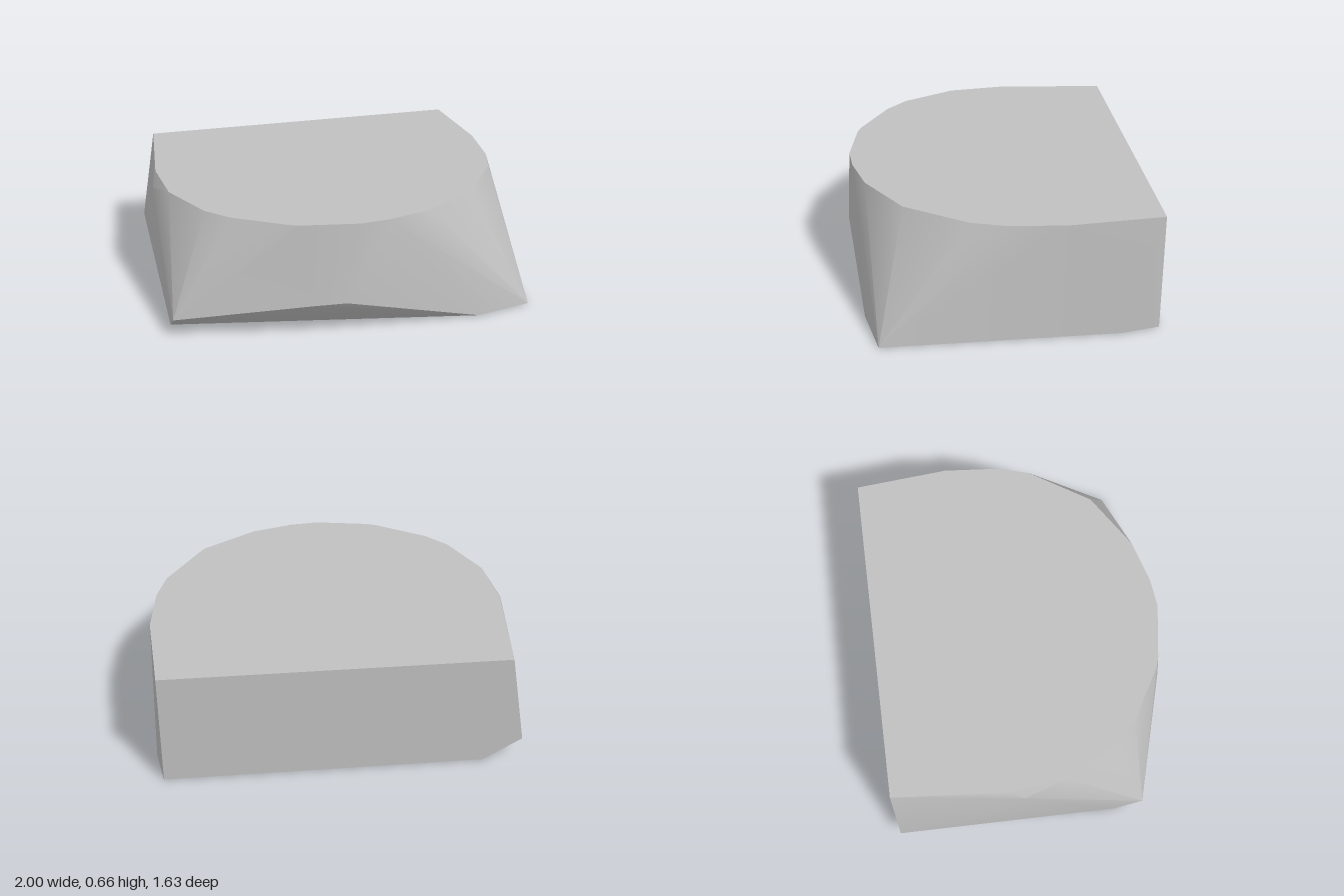
import * as THREE from 'three';
import { ConvexGeometry } from 'three/addons/geometries/ConvexGeometry.js';
import { toCreasedNormals } from 'three/addons/utils/BufferGeometryUtils.js';

const HEIGHT = 0.66;

// Flat top outline as [x, z], from back right round the front to back left
const topOutline = [
  [-0.91, -0.82], [-0.97, -0.2], [-0.935, 0.13], [-0.785, 0.43], [-0.665, 0.55],
  [-0.38, 0.72], [-0.32, 0.74], [-0.02, 0.79], [0.14, 0.775], [0.38, 0.71],
  [0.69, 0.52], [0.91, 0.19], [0.965, 0.01], [0.995, -0.3], [0.955, -0.82],
];

// Flat base outline as [x, z]
const baseOutline = [
  [-0.79, -0.82], [-1, 0.43], [0.68, 0.745], [1, 0.68], [1, -0.61], [0.96, -0.82],
];

// Corners between base and top as [x, y, z]: undercut front lip and the cut side
const sideCorners = [
  [-1, 0.11, 0.585], [-0.27, 0.21, 0.795], [-0.1, 0.215, 0.815],
  [-1, 0.13, -0.82], [-1, 0.6, -0.1],
];

export function createModel() {
  const group = new THREE.Group();
  group.name = 'stoneBlock';

  const stoneGrey = new THREE.MeshStandardMaterial({ color: 0xc0c0c0 });
  stoneGrey.name = 'stone grey';

  // Convex faceted body spanning the two outlines
  const points = [
    ...topOutline.map(([x, z]) => new THREE.Vector3(x, HEIGHT, z)),
    ...baseOutline.map(([x, z]) => new THREE.Vector3(x, 0, z)),
    ...sideCorners.map((p) => new THREE.Vector3(...p)),
  ];
  const body = new THREE.Mesh(toCreasedNormals(new ConvexGeometry(points), 0.45), stoneGrey);
  body.name = 'blockBody';
  group.add(body);

  return group;
}
